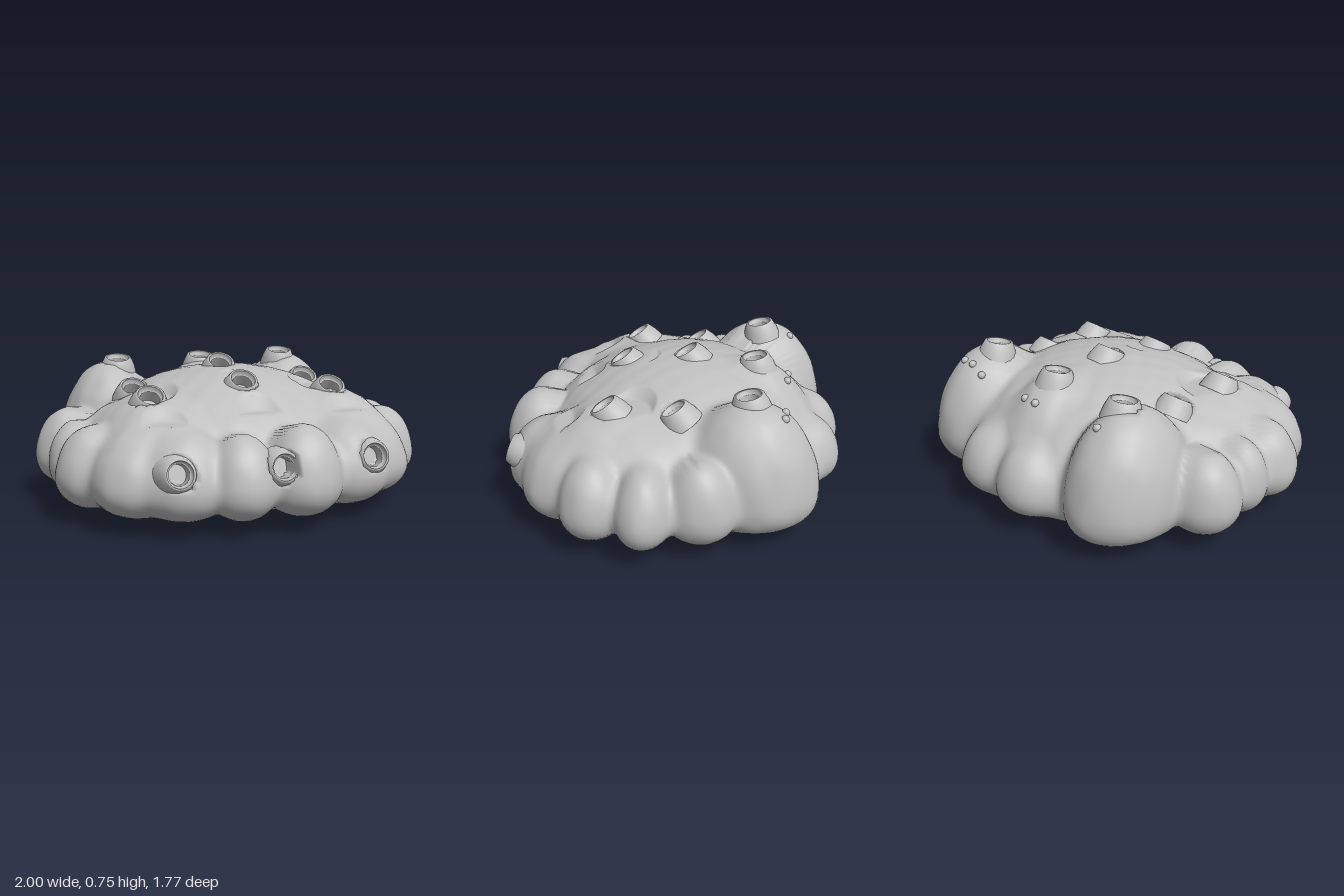
import * as THREE from 'three';
import { mergeVertices } from 'three/addons/utils/BufferGeometryUtils.js';

// Ellipsoids forming the lumpy shell: centre x, y, z, radii x, y, z
const LOBES = [
  [0, 0.14, -0.06, 0.82, 0.545, 0.78],                                       // dome
  [-0.45, 0.2, 0.2, 0.38, 0.39, 0.5], [0.45, 0.2, 0.2, 0.38, 0.39, 0.5],     // shoulders
  [-0.55, 0.2, 0.04, 0.32, 0.33, 0.36], [0.55, 0.2, 0.04, 0.31, 0.33, 0.36],
  [-0.55, 0.2, -0.44, 0.275, 0.48, 0.345], [0.5, 0.2, -0.44, 0.285, 0.48, 0.345],
  [-0.02, 0.22, -0.4, 0.28, 0.45, 0.35],                                     // back lobes
  [-0.16, 0.2, -0.7, 0.19, 0.24, 0.185], [0.12, 0.2, -0.7, 0.2, 0.24, 0.19],
  [-0.81, 0.2, -0.21, 0.19, 0.28, 0.18], [-0.82, 0.2, 0.03, 0.15, 0.26, 0.14],
  [-0.78, 0.2, 0.25, 0.19, 0.27, 0.18],
  [0.75, 0.2, -0.23, 0.16, 0.29, 0.18], [0.81, 0.2, 0.02, 0.19, 0.26, 0.15],
  [0.77, 0.2, 0.27, 0.18, 0.27, 0.17],                                       // side lobes
  [-0.6, 0.2, 0.44, 0.24, 0.27, 0.24], [0.56, 0.2, 0.43, 0.25, 0.27, 0.24],
  [-0.42, 0.2, 0.57, 0.23, 0.28, 0.22], [0.4, 0.2, 0.56, 0.23, 0.28, 0.22],
  [-0.18, 0.2, 0.67, 0.18, 0.27, 0.195], [0.12, 0.2, 0.68, 0.2, 0.3, 0.2],   // front lobes
];

function ellipsoid(x, y, z, [cx, cy, cz, a, b, c]) {
  const u = (x - cx) / a, v = (y - cy) / b, w = (z - cz) / c;
  const k0 = Math.hypot(u, v, w);
  if (k0 < 0.02) return -Math.min(a, b, c);
  return k0 * (k0 - 1) / Math.hypot(u / a, v / b, w / c);
}

// Extra offset that rounds a join between two fields over a width k
function blend(a, b, k) {
  const h = Math.max(k - Math.abs(a - b), 0) / k;
  return h * h * k / 4;
}

// Signed distance of the softly blended shell with its rounded lower rim
function shell(x, y, z) {
  let f = 10;
  for (const lobe of LOBES) {
    const g = ellipsoid(x, y, z, lobe);
    f = Math.min(f, g) - blend(f, g, 0.04);
  }
  f += 0.003 * Math.sin(21 * x + 3 * z) * Math.sin(19 * z + 2 * y) * Math.cos(17 * y);
  f += 0.0015 * Math.sin(43 * x + 9 * y) * Math.sin(39 * z - 11 * y);
  const under = 0.057 - y;
  return Math.max(f, under) + blend(f, under, 0.2);
}

// March from a start point along a direction until the field is reached
function march(field, start, dir) {
  const p = start.clone();
  for (let i = 0; i < 90; i++) {
    const d = field(p.x, p.y, p.z);
    if (d < 0.0007) break;
    p.addScaledVector(dir, d * 0.7);
  }
  return p;
}

const DOWN = new THREE.Vector3(0, -1, 0), BACK = new THREE.Vector3(0, 0, -1);
const onTop = (x, z) => march(shell, new THREE.Vector3(x, 1.3, z), DOWN);
const onFront = (x, y) => march(shell, new THREE.Vector3(x, y, 1.4), BACK);

export function createModel() {
  const model = new THREE.Group();
  const stone = new THREE.MeshStandardMaterial({ color: 0xbfbfbf });
  stone.name = 'pale grey';
  stone.side = THREE.DoubleSide;
  const add = (geometry, name, parent = model) => {
    const mesh = new THREE.Mesh(geometry, stone);
    mesh.name = name;
    parent.add(mesh);
    return mesh;
  };

  // Socket positions and the shallow flared pits cut in front of them
  const sockets = [], pits = [];
  for (const x of [-0.5, -0.02, 0.47]) {
    const side = Math.abs(x) > 0.2;
    sockets.push({ p: onTop(x, -0.43), axis: new THREE.Vector3(0, 0.97, 0.2), sink: 0.005 });
    sockets.push({ p: onTop(x, -0.08), axis: new THREE.Vector3(0, 0.85, 0.52), sink: 0.008 });
    sockets.push({ p: onTop(x, 0.26), axis: new THREE.Vector3(0, 0.83, 0.55), sink: 0.008 });
    sockets.push({ p: onFront(x, 0.33), axis: new THREE.Vector3(0, 0.28, 0.96), sink: side ? 0.02 : 0.01 });
    pits.push({ x, z: side ? 0.17 : 0.21, r: 0.13, floor: onTop(x, 0.13).y - (side ? 0.012 : 0) });
    pits.push({ x, z: 0.57, r: 0.14, floor: onTop(x, side ? 0.51 : 0.49).y - 0.006 });
  }
  for (const { p, axis, sink } of sockets) p.addScaledVector(axis.normalize(), -sink);

  // Shell with pits, socket holes and the underside bore removed
  const carved = (x, y, z) => {
    let f = shell(x, y, z);
    for (const pit of pits) {
      const h = y - pit.floor;
      const wall = pit.r + h - Math.hypot(x - pit.x, z - pit.z);
      f = Math.max(f, Math.min(h, wall * 0.7, 0.08 - h));
    }
    for (const { p } of sockets) f = Math.max(f, 0.075 - Math.hypot(x - p.x, y - p.y, z - p.z));
    return Math.max(f, Math.min(0.13 - Math.hypot(x + 0.02, z + 0.09), 0.16 - y));
  };
  const body = new THREE.SphereGeometry(1, 300, 150);
  const pos = body.attributes.position;
  const dir = new THREE.Vector3(), centre = new THREE.Vector3(0, 0.2, 0);
  for (let i = 0; i < pos.count; i++) {
    dir.fromBufferAttribute(pos, i).normalize();
    const start = centre.clone().addScaledVector(dir, 1.25);
    const p = march(carved, start, dir.clone().negate());
    pos.setXYZ(i, p.x, p.y, p.z);
  }
  body.deleteAttribute('uv');
  body.deleteAttribute('normal');
  const smoothBody = mergeVertices(body, 1e-5);
  smoothBody.computeVertexNormals();
  add(smoothBody, 'lumpyShell');

  // Raised sockets: sloping collar, stepped rim and blind hole
  const v2 = (list) => list.map(([x, y]) => new THREE.Vector2(x, y));
  const collar = new THREE.LatheGeometry(v2([[0.105, -0.06], [0.092, -0.01], [0.073, 0.033], [0.062, 0.033]]), 28);
  const step = new THREE.LatheGeometry(v2([[0.062, 0.033], [0.058, 0.012], [0.05, 0.012]]), 28);
  const hole = new THREE.LatheGeometry(v2([[0.05, 0.012], [0.05, -0.05]]), 28);
  const floor = new THREE.CircleGeometry(0.05, 28).rotateX(-Math.PI / 2).translate(0, -0.05, 0);
  const up = new THREE.Vector3(0, 1, 0);
  for (const { p, axis } of sockets) {
    const socket = new THREE.Group();
    socket.name = 'socket';
    add(collar, 'socketCollar', socket);
    add(step, 'socketRim', socket);
    add(hole, 'socketHole', socket);
    add(floor, 'socketFloor', socket);
    socket.position.copy(p);
    socket.quaternion.setFromUnitVectors(up, axis);
    model.add(socket);
  }

  // Counting beads behind the rear sockets: one, two and three
  const bead = new THREE.SphereGeometry(0.02, 16, 10);
  for (const x of [-0.51, -0.06, 0.02, 0.39, 0.465, 0.535]) {
    add(bead, 'bead').position.copy(onTop(x, -0.6));
  }

  // Tapered foot with a hexagonal bore
  const foot = new THREE.Group();
  foot.name = 'foot';
  foot.position.set(-0.02, 0, -0.09);
  model.add(foot);
  add(new THREE.LatheGeometry(v2([[0.16, 0], [0.235, 0.052]]), 48), 'footTaper', foot);
  add(new THREE.RingGeometry(0.235, 0.32, 48).rotateX(Math.PI / 2).translate(0, 0.052, 0), 'footFlange', foot);
  add(new THREE.CylinderGeometry(0.32, 0.32, 0.02, 48, 1, true).translate(0, 0.062, 0), 'flangeEdge', foot);
  const face = new THREE.Shape().absarc(0, 0, 0.16, 0, Math.PI * 2);
  const hex = [];
  for (let i = 0; i < 6; i++) {
    hex.push(new THREE.Vector2(Math.sin(i * Math.PI / 3), Math.cos(i * Math.PI / 3)).multiplyScalar(0.1));
  }
  face.holes.push(new THREE.Path(hex));
  add(new THREE.ShapeGeometry(face, 48).rotateX(Math.PI / 2), 'footFace', foot);
  const bore = new THREE.CylinderGeometry(0.1, 0.1, 0.14, 6, 1, true).toNonIndexed();
  bore.computeVertexNormals();
  add(bore.translate(0, 0.07, 0), 'hexBore', foot);
  add(new THREE.CircleGeometry(0.12, 6).rotateX(Math.PI / 2).translate(0, 0.14, 0), 'boreEnd', foot);

  return model;
}
